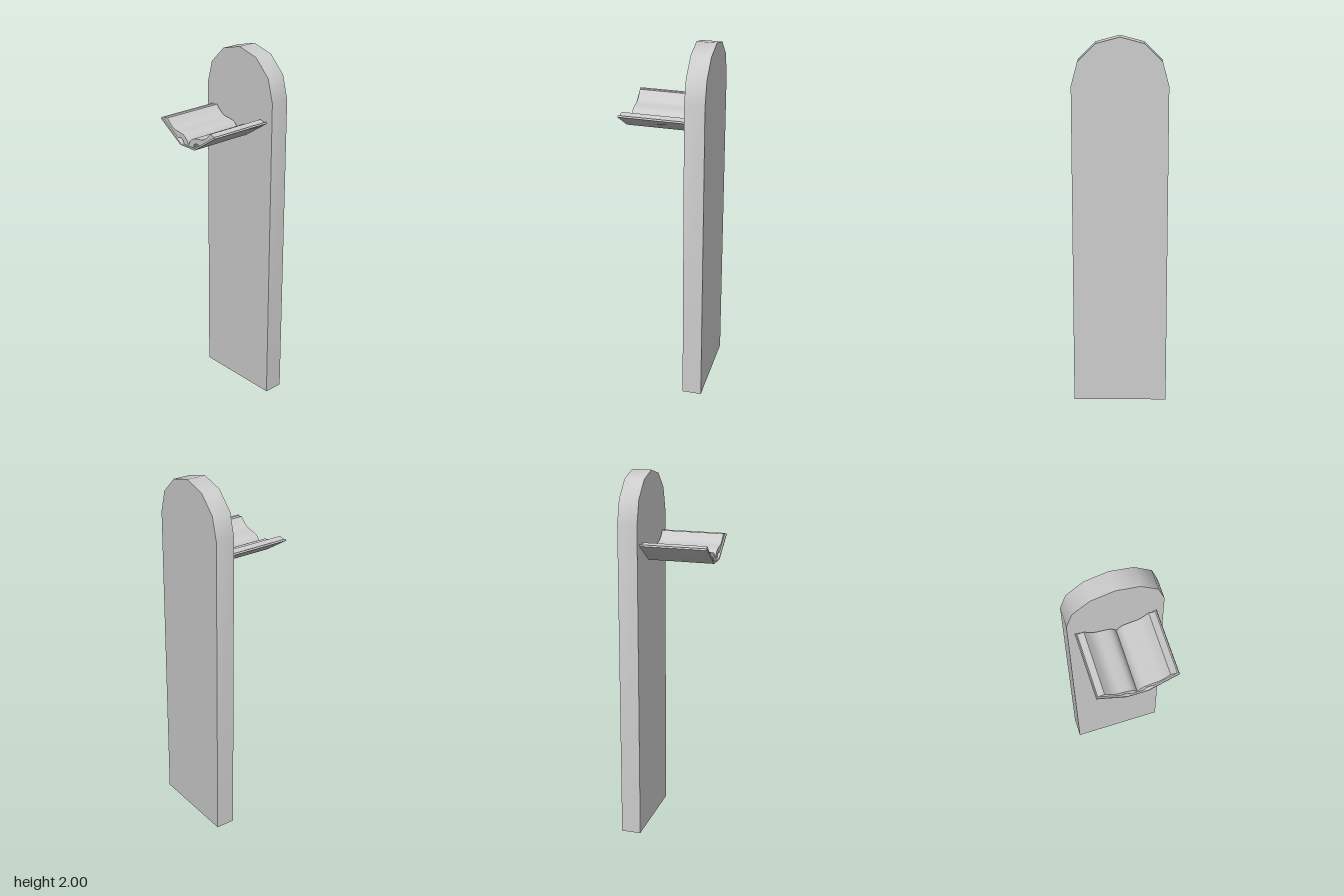
import * as THREE from 'three';
import { toCreasedNormals } from 'three/addons/utils/BufferGeometryUtils.js';

const material = new THREE.MeshStandardMaterial({ color: 0xcccccc, side: THREE.DoubleSide });

function addMesh(parent, name, geometry) {
  const mesh = new THREE.Mesh(geometry, material);
  mesh.name = name;
  parent.add(mesh);
  return mesh;
}

const toShape = (points) => new THREE.Shape(points.map(([x, y]) => new THREE.Vector2(x, y)));

// Extrude a closed outline between two z positions, smooth on curves and sharp at corners
function extrude(points, z0, z1) {
  const geometry = new THREE.ExtrudeGeometry(toShape(points), { depth: z1 - z0, bevelEnabled: false });
  geometry.translate(0, 0, z0);
  return toCreasedNormals(geometry, 0.62);
}

export function createModel() {
  const model = new THREE.Group();
  model.name = 'slabWithOpenBook';

  // Slab outline: straight sides and a six-segment arch
  const halfWidth = 0.253, zFront = -0.128, zBack = -0.235;
  const outline = [[halfWidth, 0]];
  for (let i = 0; i <= 6; i++) {
    const a = (i / 6) * Math.PI;
    outline.push([halfWidth * Math.cos(a), 1.75 + 0.25 * Math.sin(a)]);
  }
  outline.push([-halfWidth, 0]);

  const slab = new THREE.Group();
  slab.name = 'slab';
  model.add(slab);
  addMesh(slab, 'slabFront', new THREE.ShapeGeometry(toShape(outline))).position.z = zFront;
  const back = addMesh(slab, 'slabBack', new THREE.ShapeGeometry(toShape(outline)));
  back.rotation.y = Math.PI;
  back.position.z = zBack;

  // Rim around the sides and arch; the underside stays open
  const n = outline.length;
  const rim = new THREE.PlaneGeometry(1, 1, n - 1, 1);
  const pos = rim.attributes.position;
  for (let i = 0; i < n; i++) {
    pos.setXYZ(i, ...outline[i], zBack);
    pos.setXYZ(n + i, ...outline[i], zFront);
  }
  // Turn the strip's faces outward
  const index = rim.index.array;
  const a = new THREE.Vector3().fromBufferAttribute(pos, index[0]);
  const b = new THREE.Vector3().fromBufferAttribute(pos, index[1]);
  const c = new THREE.Vector3().fromBufferAttribute(pos, index[2]);
  if (b.sub(a).cross(c.sub(a)).x < 0) {
    for (let i = 0; i < index.length; i += 3) [index[i], index[i + 1]] = [index[i + 1], index[i]];
  }
  addMesh(slab, 'slabRim', toCreasedNormals(rim, 0.62));

  // Open book projecting from the slab
  const book = new THREE.Group();
  book.name = 'openBook';
  model.add(book);

  // Thin folded cover with a flat spine
  addMesh(book, 'bookCover', extrude([
    [-0.216, 1.633], [-0.056, 1.528], [0.056, 1.528], [0.216, 1.633],
    [0.211, 1.641], [0.052, 1.536], [-0.052, 1.536], [-0.211, 1.641],
  ], zFront, 0.234));

  // Curved page blocks, mirrored, each arching off the cover beside the spine
  const top = new THREE.SplineCurve([
    [0, 1.536], [0.012, 1.563], [0.034, 1.583], [0.07, 1.592],
    [0.11, 1.598], [0.14, 1.615], [0.17, 1.645],
  ].map(([x, y]) => new THREE.Vector2(x, y))).getPoints(16).map((p) => [p.x, p.y]);
  const under = [
    [0.205, 1.638], [0.086, 1.559], [0.068, 1.564], [0.053, 1.562],
    [0.042, 1.551], [0.036, 1.536],
  ];
  for (const side of [1, -1]) {
    const points = [...top, ...under].map(([x, y]) => [x * side, y]);
    addMesh(book, side > 0 ? 'leftPages' : 'rightPages', extrude(points, -0.121, 0.226));
  }

  return model;
}
